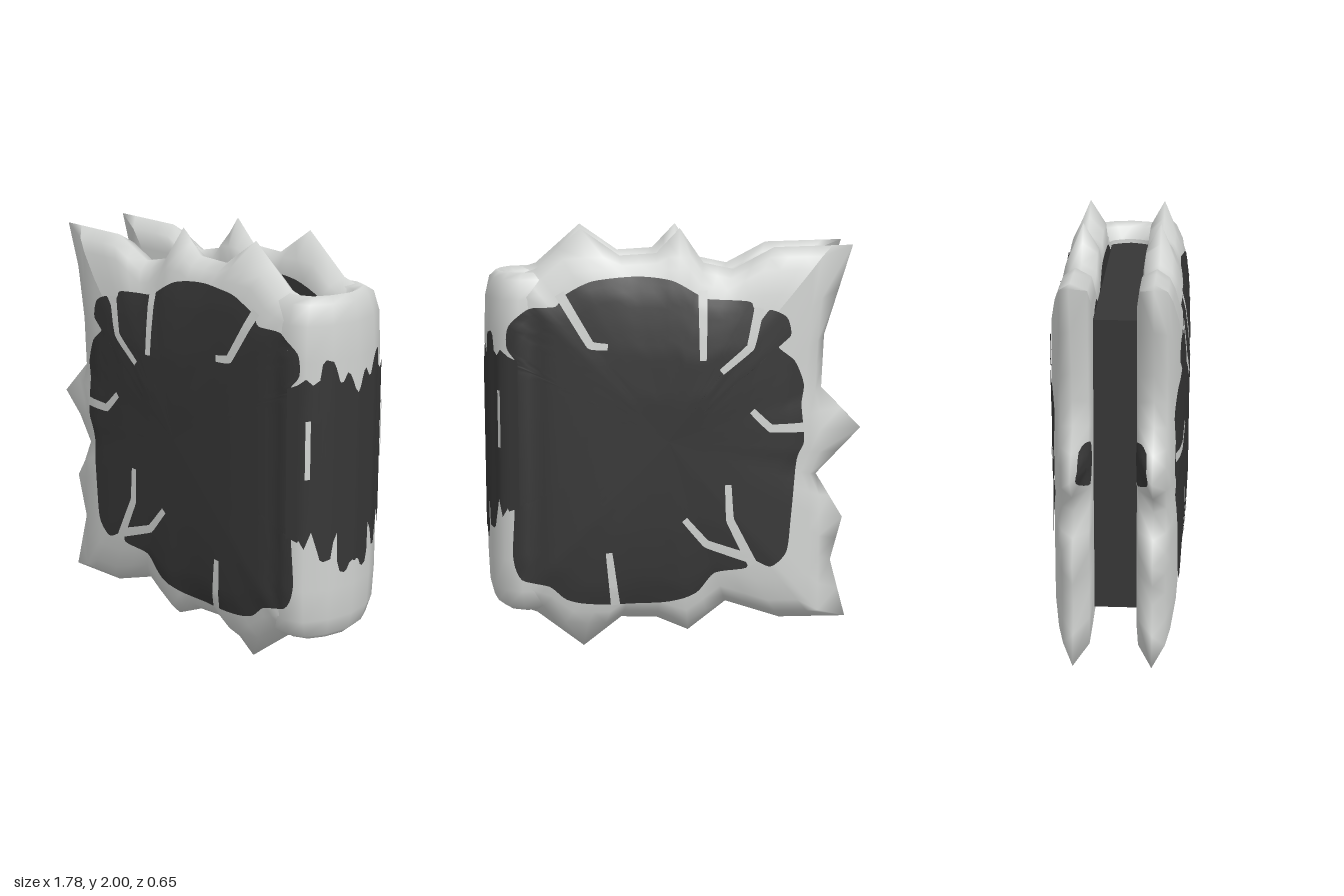
import * as THREE from 'three';

const shell = new THREE.MeshStandardMaterial({ color: 0xd2d4d2 });
shell.name = 'pale grey';
const dark = new THREE.MeshStandardMaterial({ color: 0x363636 });
dark.name = 'charcoal';

const { lerp, clamp } = THREE.MathUtils;
const CX = 0.03, CY = 1.02;

// Spiky rim of one cover, clockwise from the upper fore-edge corner
const RIM = [[-.84, 1.92], [-.65, 1.915], [-.47, 1.91], [-.28, 1.81], [-.14, 1.84], [-.03, 2], [.08, 1.885], [.25, 1.875],
  [.43, 2], [.64, 1.815], [.76, 1.775], [.76, 1.5], [.76, 1], [.76, .5], [.76, .215], [.65, .175], [.43, .005], [.25, .145],
  [.08, .14], [-.07, .075], [-.25, .215], [-.51, .13], [-.83, .13], [-.755, .41], [-.81, .62], [-.68, .835], [-.89, 1.055],
  [-.7, 1.25], [-.71, 1.5]];

// Edge of the dark field on a cover
const FIELD = [[-.11, 1.7], [.01, 1.765], [.17, 1.785], [.38, 1.765], [.51, 1.7], [.55, 1.65], [.67, 1.64], [.765, 1.56],
  [.775, 1.46], [.73, 1.39], [.78, 1.36], [.78, 1], [.78, .7], [.75, .7], [.76, .47], [.72, .36], [.59, .325], [.51, .26],
  [.38, .235], [.06, .235], [-.1, .28], [-.19, .38], [-.34, .405], [-.33, .47], [-.4, .43], [-.46, .41], [-.53, .48],
  [-.55, .65], [-.575, .92], [-.61, 1.01], [-.595, 1.18], [-.605, 1.28], [-.56, 1.39], [-.48, 1.46], [-.54, 1.51],
  [-.52, 1.595], [-.44, 1.63], [-.405, 1.58], [-.365, 1.64], [-.34, 1.67], [-.16, 1.68]];

// Dark lining inside a cover, and the dark spot on its fore-edge spike
const LINING = [[-.56, 1.6], [-.5, 1.71], [-.37, 1.74], [-.25, 1.68], [-.15, 1.71], [0, 1.79], [.2, 1.8], [.42, 1.78],
  [.6, 1.7], [.7, 1.6], [.7, .4], [.6, .3], [.4, .24], [.1, .24], [-.1, .28], [-.3, .38], [-.5, .42], [-.58, .6],
  [-.6, 1], [-.58, 1.3]];
const SPOT = [[-.66, 1.16], [-.73, 1.17], [-.84, 1.06], [-.77, 1], [-.68, .97], [-.65, 1.06]];

// Pale cracks running into the dark field
const CRACKS = [
  [[-.13, 1.72], [-.13, 1.4]],
  [[-.39, 1.64], [-.35, 1.46], [-.215, 1.345]],
  [[.53, 1.71], [.39, 1.475], [.31, 1.465]],
  [[-.61, 1.075], [-.45, 1.075], [-.36, 1.16]],
  [[-.37, .42], [-.26, .64], [-.25, .81]],
  [[-.36, .45], [-.15, .525], [-.045, .645]],
  [[.28, .23], [.31, .49]],
];

// Surface through rows of points
function grid(rows, closed = false) {
  const n = rows[0].length, pos = rows.flat(2), index = [];
  for (let r = 0; r < rows.length - 1; r++) {
    for (let k = 0; k < (closed ? n : n - 1); k++) {
      const a = r * n + k, b = r * n + (k + 1) % n;
      index.push(a, a + n, b, b, a + n, b + n);
    }
  }
  const g = new THREE.BufferGeometry();
  g.setAttribute('position', new THREE.Float32BufferAttribute(pos, 3));
  g.setIndex(index);
  g.computeVertexNormals();
  return g;
}

function mirrorZ(geo) {
  const g = geo.clone().scale(1, 1, -1), ix = g.index;
  for (let i = 0; i < ix.count; i += 3) {
    const t = ix.getX(i);
    ix.setX(i, ix.getX(i + 1));
    ix.setX(i + 1, t);
  }
  g.computeVertexNormals();
  return g;
}

// Curve through 2D points; a low tension keeps the stretches between them straight
function smooth(pts, n, closed, tension = .4) {
  const points = pts.map(([x, y]) => new THREE.Vector3(x, y, 0));
  const curve = new THREE.CatmullRomCurve3(points, closed, 'catmullrom', tension);
  const out = curve.getPoints(n).map(p => [p.x, p.y]);
  return closed ? out.slice(0, -1) : out;
}

const shrink = ([x, y], s, cx = CX, cy = CY) => [cx + (x - cx) * s, cy + (y - cy) * s];

// Cover: rings from the flat inside, over the knife-edged spikes, to the domed outside
function coverGeometry() {
  const rim = RIM.flatMap((p, i) => {
    const q = RIM[(i + 1) % RIM.length];
    return [p, [(p[0] + q[0]) / 2, (p[1] + q[1]) / 2]];
  });
  const body = rim.map(p => {
    const [x, y] = shrink(p, .95);
    return [Math.max(x, -.69), clamp(y, .13, 1.87)];
  });
  const dome = (x, y) => .02 * Math.max(0, x) + .017 * Math.exp(-((x + .1) ** 2 + (y - 1.4) ** 2) / .1);
  const ring = (pts, s, z) => pts.map(p => {
    const [x, y] = shrink(p, s);
    return [x, y, z > .25 ? z + dome(x, y) : z];
  });
  return grid([ring(body, 0, .1), ring(body, .9, .1), ring(body, 1, .112), ring(rim, 1, .18), ring(body, 1, .236),
    ring(body, .93, .258), ring(body, .8, .28), ring(body, .65, .29), ring(body, .5, .297), ring(body, .25, .302),
    ring(body, 0, .304)], true);
}

// Spine: U-shaped section swept from top rim to bottom rim and back inside
const OUTER = [[.62, .272], [.72, .284], [.8, .25], [.86, .14], [.885, 0]];
const INNER = [[.62, .112], [.68, .112], [.73, .09], [.75, .05], [.765, 0]];
function spineGeometry() {
  const row = (y, t) => {
    const half = OUTER.map((o, i) => [lerp(INNER[i][0], o[0], t), y, lerp(INNER[i][1], o[1], t)]);
    return [...half, ...half.slice(0, -1).reverse().map(([x, yy, z]) => [x, yy, -z])];
  };
  return grid([row(1.72, 0), row(1.78, .2), row(1.8, .5), row(1.77, .78), row(1.68, .95), row(1.52, 1), row(1, 1),
    row(.45, 1), row(.3, .95), row(.22, .78), row(.19, .5), row(.21, .2), row(.27, 0), row(1.72, 0)]);
}

// Thin plate on the spine; columns are [z, top, bottom]
function spinePlate(cols, lift) {
  const profileX = z => {
    for (let i = OUTER.length - 1; i > 1; i--) {
      const [x0, z0] = OUTER[i], [x1, z1] = OUTER[i - 1];
      if (z <= z1) return lerp(x0, x1, (z - z0) / (z1 - z0));
    }
    return OUTER[1][0];
  };
  const at = (z, y) => {
    const a = Math.abs(z);
    return [profileX(a) + lift, y, z + Math.sign(z) * lift * (a > .2 ? 1 : .3)];
  };
  const steps = [0, .25, .5, .75, 1];
  return grid(steps.map(t => cols.map(([z, top, bottom]) => at(z, lerp(top, bottom, t)))));
}

export function createModel() {
  const model = new THREE.Group();
  const add = (name, geo, mat) => {
    const m = new THREE.Mesh(geo, mat);
    m.name = name;
    model.add(m);
  };
  const addPair = (name, geo, mat) => {
    add('front' + name, geo, mat);
    add('back' + name, mirrorZ(geo), mat);
  };

  const cover = coverGeometry(), spine = spineGeometry();
  addPair('Cover', cover, shell);
  add('spine', spine, shell);

  // Lay painted details on the surface, from the outside or from the gap between the covers
  const bases = [new THREE.Mesh(cover, shell), new THREE.Mesh(spine, shell)];
  const ray = new THREE.Raycaster();
  const onSurface = ([x, y], lift) => {
    ray.set(new THREE.Vector3(x, y, 2), new THREE.Vector3(0, 0, -1));
    const hit = ray.intersectObjects(bases)[0];
    return [x, y, (hit ? hit.point.z : .24) + lift];
  };
  const onInside = ([x, y], lift) => {
    ray.set(new THREE.Vector3(x, y, 0), new THREE.Vector3(0, 0, 1));
    const hit = ray.intersectObject(bases[0])[0];
    return [x, y, (hit ? hit.point.z : .11) - lift];
  };

  const edge = smooth(FIELD, 205, true);
  const fieldRows = [];
  for (let i = 0; i <= 22; i++) fieldRows.push(edge.map(p => onSurface(shrink(p, 1 - i / 22), .006)));
  addPair('DarkField', grid(fieldRows, true), dark);

  CRACKS.forEach((path, i) => {
    const pts = smooth(path, 16, false, .08);
    const rows = pts.map((p, j) => {
      const a = pts[Math.max(0, j - 1)], b = pts[Math.min(pts.length - 1, j + 1)];
      const dx = b[0] - a[0], dy = b[1] - a[1], l = Math.hypot(dx, dy);
      const w = lerp(.023, .015, j / (pts.length - 1));
      return [-w, 0, w].map(k => onSurface([p[0] - dy / l * k, p[1] + dx / l * k], .0098));
    });
    addPair('Crack' + (i + 1), grid(rows), shell);
  });

  // Dark band round the spine with ragged ends
  const half = [[.284, 1.4, .7], [.265, 1.42, .72], [.25, 1.45, .66], [.22, 1.42, .74], [.195, 1.44, .64], [.185, 1.51, .6],
    [.17, 1.53, .59], [.14, 1.52, .6], [.125, 1.49, .68], [.105, 1.43, .72], [.1, 1.42, .58], [.085, 1.42, .53],
    [.06, 1.46, .52], [.045, 1.45, .53], [.03, 1.42, .56], [.015, 1.38, .57]];
  const band = [...half, [0, 1.36, .565], ...half.slice().reverse().map(([z, t, b]) => [-z, t, b])];
  add('spineDarkBand', spinePlate(band, .006), dark);
  addPair('SpineCrack', spinePlate([[.25, 1.26, .99], [.228, 1.26, .99]], .0098), shell);

  // Dark lining and fore-edge spot on the inside of each cover
  const lining = new THREE.ShapeGeometry(new THREE.Shape(smooth(LINING, 100, true).map(p => new THREE.Vector2(...p))));
  addPair('Lining', mirrorZ(lining.translate(0, 0, -.096)), dark);
  const spotEdge = smooth(SPOT, 24, true);
  const spotRows = [1, .75, .5, .25, 0].map(s => spotEdge.map(p => onInside(shrink(p, s, -.73, 1.07), .006)));
  addPair('InnerSpot', grid(spotRows, true), dark);

  // Block filling the gap between the covers
  const block = new THREE.BoxGeometry(1.33, 1.4, .196);
  block.translate(.105, 1, 0);
  add('innerBlock', block, dark);

  return model;
}
